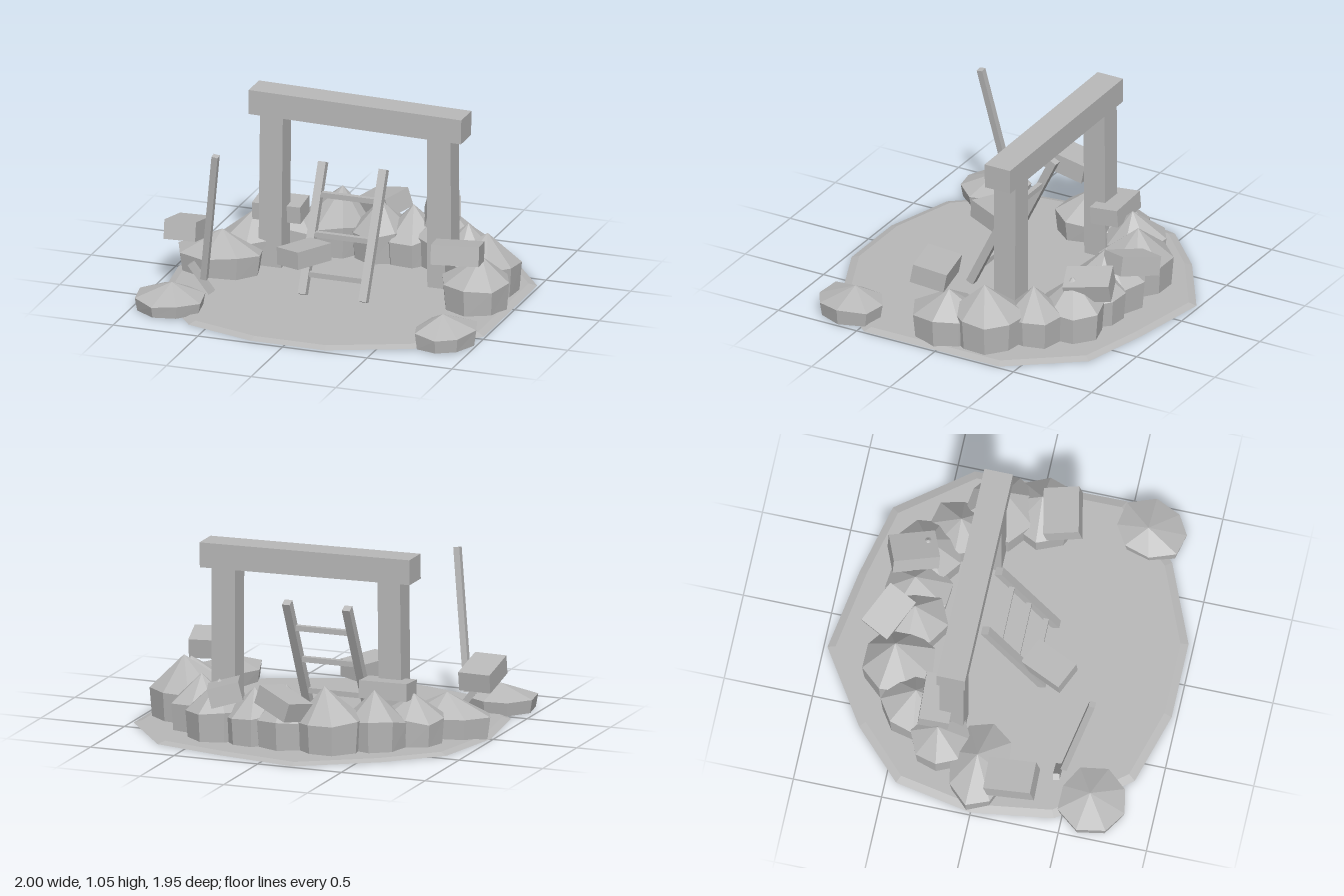
import * as THREE from 'three';

const stone = new THREE.MeshStandardMaterial({ color: 0xb8b8b8, flatShading: true });
stone.name = 'grey stone';

// Small seeded generator for the uneven rocks
let seed = 7;
const rand = () => {
  seed = (seed * 16807) % 2147483647;
  return seed / 2147483647;
};
const jitter = (amount) => 1 + (rand() - 0.5) * 2 * amount;

// Skin rings of [x, y, z] points from bottom to top, closing both ends
function loft(rings) {
  const pos = [];
  const n = rings[0].length;
  const centre = (ring) => [0, 1, 2].map((k) => ring.reduce((s, p) => s + p[k], 0) / n);
  const bottom = centre(rings[0]);
  const last = rings[rings.length - 1];
  const top = centre(last);
  for (let i = 0; i < n; i++) {
    const j = (i + 1) % n;
    for (let r = 0; r + 1 < rings.length; r++) {
      const [a, b, c, d] = [rings[r][i], rings[r][j], rings[r + 1][i], rings[r + 1][j]];
      pos.push(...a, ...c, ...b, ...b, ...c, ...d);
    }
    pos.push(...bottom, ...rings[0][i], ...rings[0][j]);
    pos.push(...top, ...last[j], ...last[i]);
  }
  const geo = new THREE.BufferGeometry();
  geo.setAttribute('position', new THREE.Float32BufferAttribute(pos, 3));
  geo.computeVertexNormals();
  return geo;
}

function add(parent, name, geometry) {
  const mesh = new THREE.Mesh(geometry, stone);
  mesh.name = name;
  parent.add(mesh);
  return mesh;
}

// Square bar running from p to q
function bar(parent, name, p, q, w, d = w) {
  const a = new THREE.Vector3(...p);
  const b = new THREE.Vector3(...q);
  const dir = b.clone().sub(a);
  const mesh = add(parent, name, new THREE.BoxGeometry(w, dir.length(), d));
  mesh.position.copy(a).add(b).multiplyScalar(0.5);
  mesh.quaternion.setFromUnitVectors(new THREE.Vector3(0, 1, 0), dir.normalize());
  return mesh;
}

// Faceted boulder: straight lower wall, then a pointed cap
function boulder(parent, name, x, z, rx, rz, h, bulge = 0.52) {
  const n = 8;
  const foot = [], wall = [], apex = [];
  const turn = rand() * 0.8;
  const tip = [x + (rand() - 0.5) * rx * 0.25, h, z + (rand() - 0.5) * rz * 0.25];
  for (let i = 0; i < n; i++) {
    const a = turn + (i / n) * Math.PI * 2;
    const k = jitter(0.1);
    const c = Math.cos(a) * rx * k;
    const s = Math.sin(a) * rz * k;
    foot.push([x + c * 0.93, 0.005, z + s * 0.93]);
    wall.push([x + c, h * bulge * jitter(0.12), z + s]);
    apex.push(tip);
  }
  return add(parent, name, loft([foot, wall, apex]));
}

export function createModel() {
  seed = 7;
  const model = new THREE.Group();
  model.name = 'ruined well';

  // Ground slab with a bevelled rim
  const outline = [
    [0.99, 0.46], [0.69, 0.78], [0.24, 0.97], [-0.2, 0.97], [-0.61, 0.85], [-0.92, 0.46], [-0.985, 0],
    [-0.9, -0.44], [-0.62, -0.71], [-0.2, -0.98], [0.27, -0.9], [0.68, -0.8], [0.985, -0.4],
  ];
  add(model, 'ground', loft([
    outline.map(([x, z]) => [x, 0, z]),
    outline.map(([x, z]) => [x * 0.955, 0.014, z * 0.955]),
  ]));

  // Gate frame
  const frame = new THREE.Group();
  frame.name = 'frame';
  model.add(frame);
  bar(frame, 'rightPost', [-0.495, 0, -0.2], [-0.485, 0.93, -0.2], 0.135, 0.135);
  bar(frame, 'leftPost', [0.505, 0, -0.2], [0.503, 0.93, -0.2], 0.14, 0.135);
  const lintel = add(frame, 'lintel', new THREE.BoxGeometry(1.255, 0.142, 0.162));
  lintel.position.set(0.015, 0.97, -0.193);
  lintel.rotation.z = -0.014;

  // Leaning ladder
  const ladder = new THREE.Group();
  ladder.name = 'ladder';
  model.add(ladder);
  const at = (t) => [0.02 + 0.67 * t, 0.232 - 0.325 * t];
  for (const x of [-0.165, 0.193]) bar(ladder, 'ladderRail', [x, ...at(0)], [x, ...at(1)], 0.046, 0.046);
  for (const t of [0.16, 0.46, 0.76]) bar(ladder, 'ladderRung', [-0.16, ...at(t)], [0.19, ...at(t)], 0.03, 0.03);

  // Loose sticks
  bar(model, 'leaningPole', [-0.662, 0.13, 0.46], [-0.545, 0.915, 0.595], 0.036);
  bar(model, 'brokenStick', [-0.75, 0.2, 0.435], [-0.63, 0.04, 0.425], 0.036);

  // Ring of boulders around the back: x, z, radius x, radius z, height
  const rocks = new THREE.Group();
  rocks.name = 'rocks';
  model.add(rocks);
  [
    [0.79, 0.03, 0.2, 0.21, 0.3],
    [0.75, -0.2, 0.21, 0.2, 0.36],
    [0.58, -0.4, 0.17, 0.17, 0.32],
    [0.42, -0.54, 0.18, 0.18, 0.34],
    [0.2, -0.56, 0.17, 0.19, 0.32],
    [0.0, -0.55, 0.18, 0.2, 0.34],
    [-0.25, -0.57, 0.19, 0.2, 0.37],
    [-0.47, -0.43, 0.17, 0.17, 0.33],
    [-0.63, -0.25, 0.18, 0.17, 0.29],
    [-0.74, 0.0, 0.25, 0.17, 0.25],
  ].forEach((r) => boulder(rocks, 'boulder', ...r));
  boulder(rocks, 'frontRightBoulder', -0.79, 0.65, 0.19, 0.2, 0.155, 0.48);
  boulder(rocks, 'frontLeftBoulder', 0.825, 0.64, 0.175, 0.21, 0.165, 0.55);

  // Fallen blocks: size, position, rotation
  const blocks = new THREE.Group();
  blocks.name = 'fallenBlocks';
  model.add(blocks);
  [
    [[0.185, 0.11, 0.27], [-0.855, 0.318, 0.205], [-0.2, 0.02, 0.02]],
    [[0.166, 0.1, 0.26], [-0.145, 0.275, 0.265], [-0.04, -0.44, 0.06]],
    [[0.27, 0.112, 0.2], [0.72, 0.353, 0.155], [-0.18, 0.2, 0]],
    [[0.26, 0.11, 0.18], [-0.02, 0.27, -0.67], [0.15, -0.44, 0.25]],
    [[0.18, 0.11, 0.26], [0.35, 0.285, -0.61], [0.1, 0.35, -0.25]],
    [[0.28, 0.1, 0.17], [-0.49, 0.31, -0.295], [0.08, 0.05, 0]],
  ].forEach(([size, position, rotation]) => {
    const block = add(blocks, 'fallenBlock', new THREE.BoxGeometry(...size));
    block.position.set(...position);
    block.rotation.set(...rotation, 'YXZ');
  });

  return model;
}
